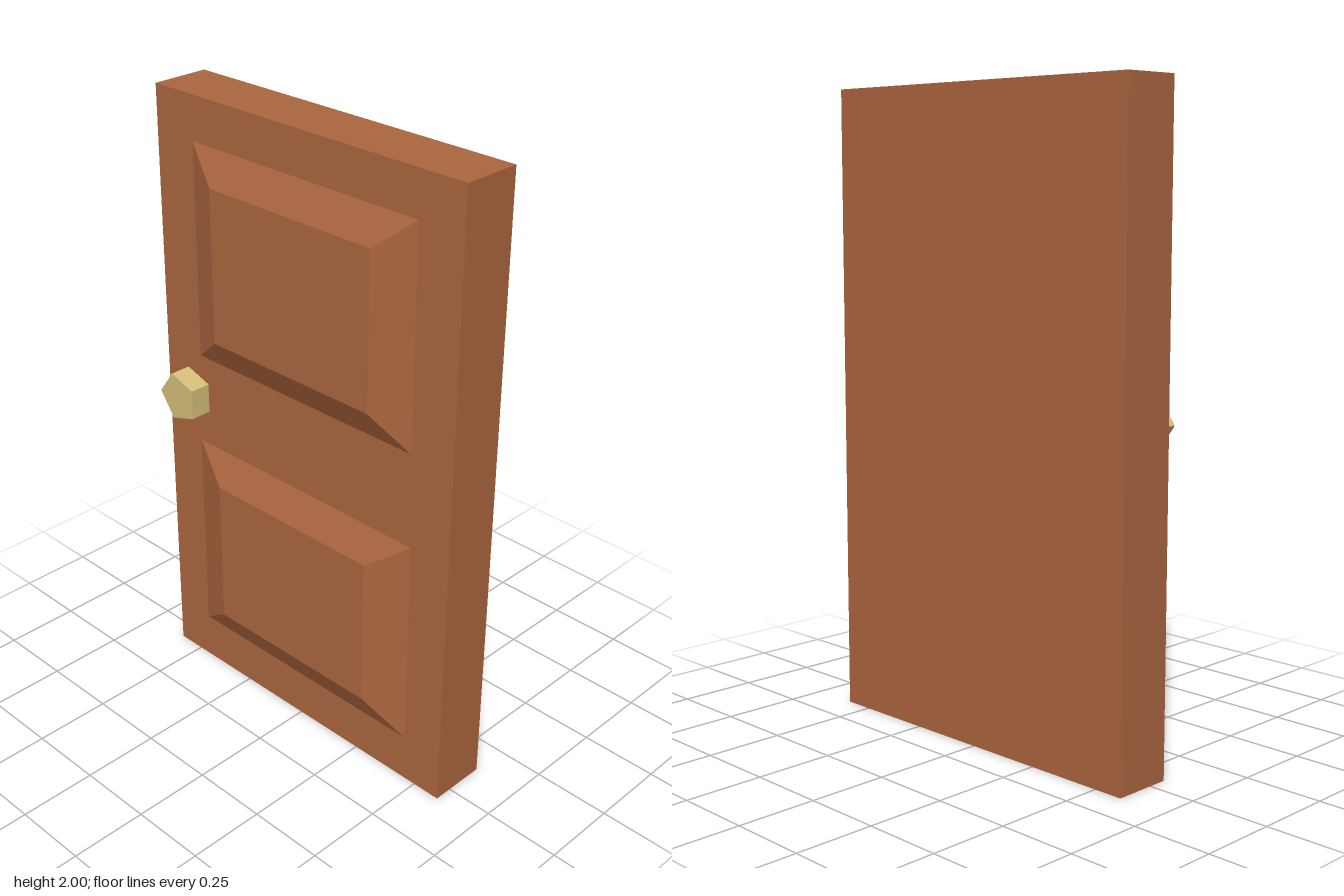
import * as THREE from 'three';

const wood = new THREE.MeshStandardMaterial({ name: 'wood', color: 0xac663f, flatShading: true });
const brass = new THREE.MeshStandardMaterial({ name: 'brass', color: 0xd5bf78, flatShading: true });

const FRONT = 0.06; // z of the slab's front face

// Raised panel: a box whose front face is drawn in to form bevelled sides
function raisedPanel(name, baseW, baseH, topW, topH, y) {
  const depth = 0.05;
  const geometry = new THREE.BoxGeometry(baseW, baseH, depth);
  const pos = geometry.attributes.position;
  for (let i = 0; i < pos.count; i++) {
    if (pos.getZ(i) > 0) {
      pos.setX(i, Math.sign(pos.getX(i)) * topW / 2);
      pos.setY(i, Math.sign(pos.getY(i)) * topH / 2);
    }
  }
  geometry.computeVertexNormals();
  const mesh = new THREE.Mesh(geometry, wood);
  mesh.name = name;
  mesh.position.set(0, y, FRONT + depth / 2);
  return mesh;
}

export function createModel() {
  const door = new THREE.Group();
  door.name = 'door';

  // Slab
  const slab = new THREE.Mesh(new THREE.BoxGeometry(1.19, 2, 0.19), wood);
  slab.name = 'slab';
  slab.position.set(0, 1, FRONT - 0.095);
  door.add(slab);

  // Panels
  door.add(raisedPanel('upperPanel', 0.88, 0.695, 0.632, 0.495, 1.512));
  door.add(raisedPanel('lowerPanel', 0.905, 0.7, 0.632, 0.495, 0.508));

  // Five-sided knob, one corner pointing to the door's edge
  const knobGeometry = new THREE.CylinderGeometry(0.083, 0.083, 0.07, 5);
  knobGeometry.rotateX(Math.PI / 2).rotateZ(-Math.PI / 2);
  const knob = new THREE.Mesh(knobGeometry, brass);
  knob.name = 'knob';
  knob.position.set(-0.476, 1.025, FRONT + 0.035);
  door.add(knob);

  return door;
}
